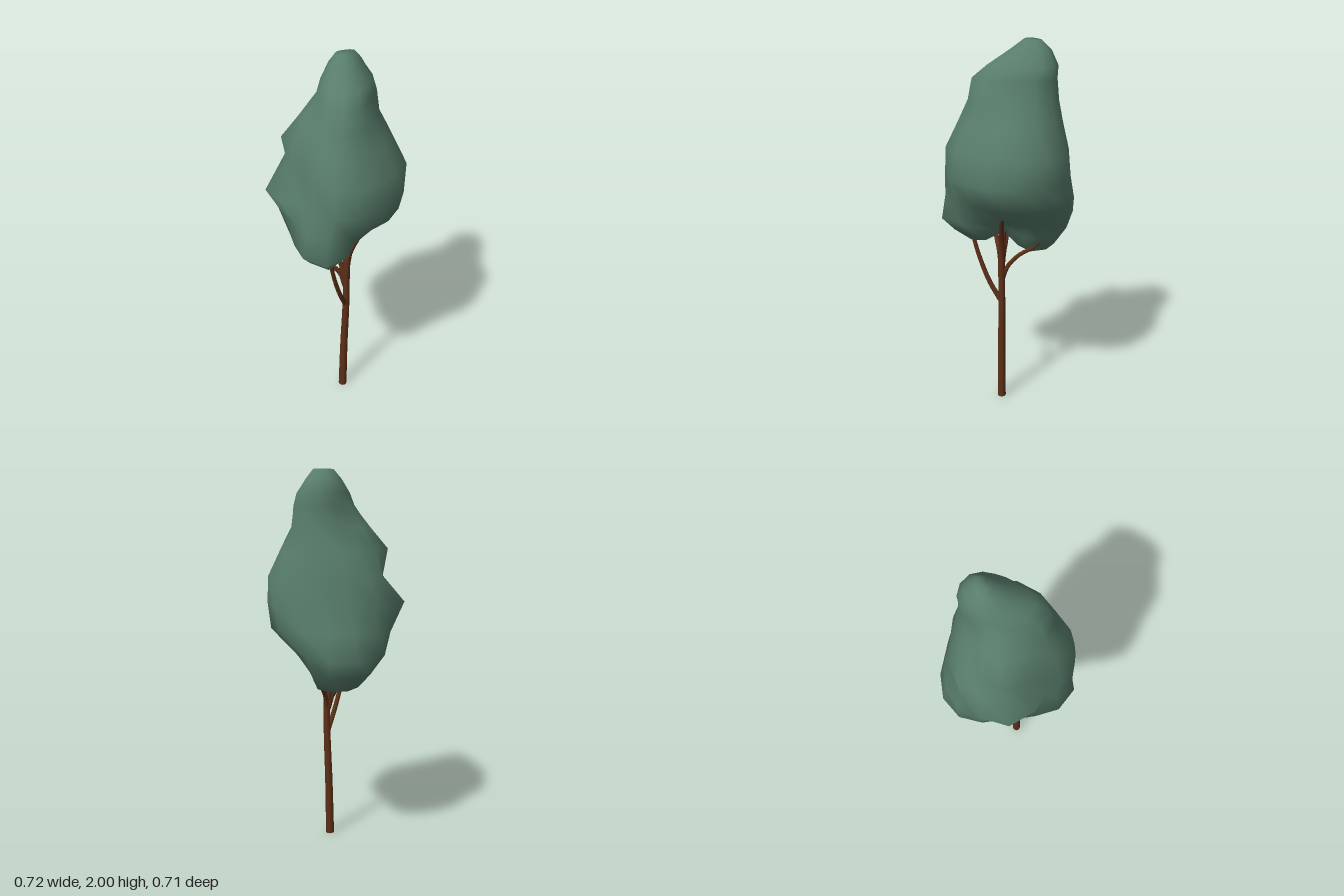
import * as THREE from 'three';

const leafMat = new THREE.MeshStandardMaterial({ color: 0x587d6b });
const barkMat = new THREE.MeshStandardMaterial({ color: 0x5e3019 });

// Crown cross-sections: [y, centre x, centre z, radii every 45 degrees from +x towards +z]
const LAYERS = [
  [2.00, 0.04, -0.105, [.045, .04, .035, .045, .05, .04, .04, .06]],
  [1.95, 0.04, -0.10, [.075, .08, .10, .10, .085, .09, .10, .11]],
  [1.88, 0.04, -0.08, [.13, .14, .20, .15, .12, .13, .155, .16]],
  [1.82, 0.04, -0.03, [.14, .15, .225, .16, .14, .15, .20, .20]],
  [1.71, 0.03, -0.02, [.17, .19, .235, .20, .215, .17, .22, .225]],
  [1.60, 0.02, 0, [.25, .235, .265, .22, .295, .24, .26, .28]],
  [1.46, 0, 0, [.355, .30, .33, .22, .25, .31, .285, .34]],
  [1.32, 0, 0.05, [.345, .305, .285, .235, .36, .35, .35, .39]],
  [1.19, -0.03, 0, [.355, .30, .335, .24, .275, .325, .325, .375]],
  [1.06, -0.04, 0, [.16, .20, .355, .24, .21, .315, .355, .28]],
  [0.97, -0.03, 0, [.10, .12, .29, .19, .16, .26, .32, .20]],
  [0.885, -0.02, 0, [.06, .08, .20, .13, .09, .17, .25, .14]],
];
const SIDES = 16;

// Smooth closed interpolation of the eight radii
function radiusAt(r, t) {
  const i = Math.floor(t), f = t - i, p = k => r[(i + k + 8) % 8];
  const m0 = (p(1) - p(-1)) / 2, m1 = (p(2) - p(0)) / 2;
  return p(0) * (2 * f ** 3 - 3 * f * f + 1) + m0 * (f ** 3 - 2 * f * f + f)
    + p(1) * (3 * f * f - 2 * f ** 3) + m1 * (f ** 3 - f * f);
}

// The underside is lifted in front and notched between its two lobes
function lift(y, z) {
  const amount = THREE.MathUtils.clamp((1.06 - y) / 0.17, 0, 1);
  const front = 0.05 * THREE.MathUtils.smoothstep(z, -0.1, 0.1);
  return amount * (front + 0.06 * Math.exp(-(((z - 0.04) / 0.08) ** 2)));
}

function crownGeometry() {
  const pos = [], index = [];
  for (const [y, cx, cz, radii] of LAYERS) {
    for (let j = 0; j < SIDES; j++) {
      const a = (j / SIDES) * Math.PI * 2, r = radiusAt(radii, (j / SIDES) * 8);
      const x = cx + r * Math.cos(a), z = cz + r * Math.sin(a);
      pos.push(x, y + lift(y, z), z);
    }
  }
  const last = (LAYERS.length - 1) * SIDES, top = LAYERS.length * SIDES;
  pos.push(0.04, 2.0, -0.105, -0.02, 0.99, 0.03);
  for (let j = 0; j < SIDES; j++) {
    const k = (j + 1) % SIDES;
    for (let i = 0; i < last; i += SIDES) {
      const a = i + j, b = i + k, c = a + SIDES, d = b + SIDES;
      index.push(a, b, c, b, d, c);
    }
    index.push(top, k, j, top + 1, last + j, last + k);
  }
  const geo = new THREE.BufferGeometry();
  geo.setAttribute('position', new THREE.Float32BufferAttribute(pos, 3));
  geo.setIndex(index);
  geo.computeVertexNormals();
  return geo;
}

// Tapered tube along a smooth path
function limb(name, points, r0, r1) {
  const curve = new THREE.CatmullRomCurve3(points.map(p => new THREE.Vector3(...p)));
  const segs = 12, sides = 8;
  const geo = new THREE.TubeGeometry(curve, segs, r0, sides);
  const pos = geo.attributes.position, v = new THREE.Vector3();
  for (let n = 0; n < pos.count; n++) {
    const t = Math.floor(n / (sides + 1)) / segs, c = curve.getPointAt(t);
    v.fromBufferAttribute(pos, n).sub(c).multiplyScalar(THREE.MathUtils.lerp(1, r1 / r0, t)).add(c);
    pos.setXYZ(n, v.x, v.y, v.z);
  }
  const mesh = new THREE.Mesh(geo, barkMat);
  mesh.name = name;
  return mesh;
}

export function createModel() {
  const tree = new THREE.Group();
  tree.name = 'tree';

  const crown = new THREE.Mesh(crownGeometry(), leafMat);
  crown.name = 'crown';
  tree.add(crown);

  // Trunk with a closed foot
  tree.add(limb('trunk', [[.04, 0, .05], [.046, .3, .05], [.056, .6, .05], [.056, .85, .05], [.05, 1.0, .04]], .023, .016));
  const foot = new THREE.Mesh(new THREE.CircleGeometry(.023, 8), barkMat);
  foot.name = 'trunkFoot';
  foot.rotation.x = Math.PI / 2;
  foot.position.set(.04, 0, .05);
  tree.add(foot);

  // Branches reaching into the crown
  tree.add(limb('leftBranch', [[.055, .74, .05], [.068, .92, .054], [.112, 1.03, .06], [.165, 1.12, .062], [.19, 1.17, .06]], .02, .01));
  tree.add(limb('rightBranch', [[.05, .72, .05], [.02, .81, .05], [-.04, .86, .05], [-.13, .89, .05], [-.18, .96, .055], [-.2, 1.02, .06]], .015, .01));
  tree.add(limb('backBranch', [[.055, .72, .05], [.06, .8, .02], [.075, .87, -.04], [.085, .91, -.11], [.085, .94, -.15]], .014, .009));
  tree.add(limb('frontBranch', [[.05, .6, .055], [.025, .7, .11], [0, .82, .155], [-.02, .95, .19], [-.025, 1.02, .2]], .014, .01));
  tree.add(limb('innerBranch', [[.05, .76, .05], [.025, .86, .035], [-.005, .94, .015], [-.02, 1.0, .01]], .015, .01));

  return tree;
}
